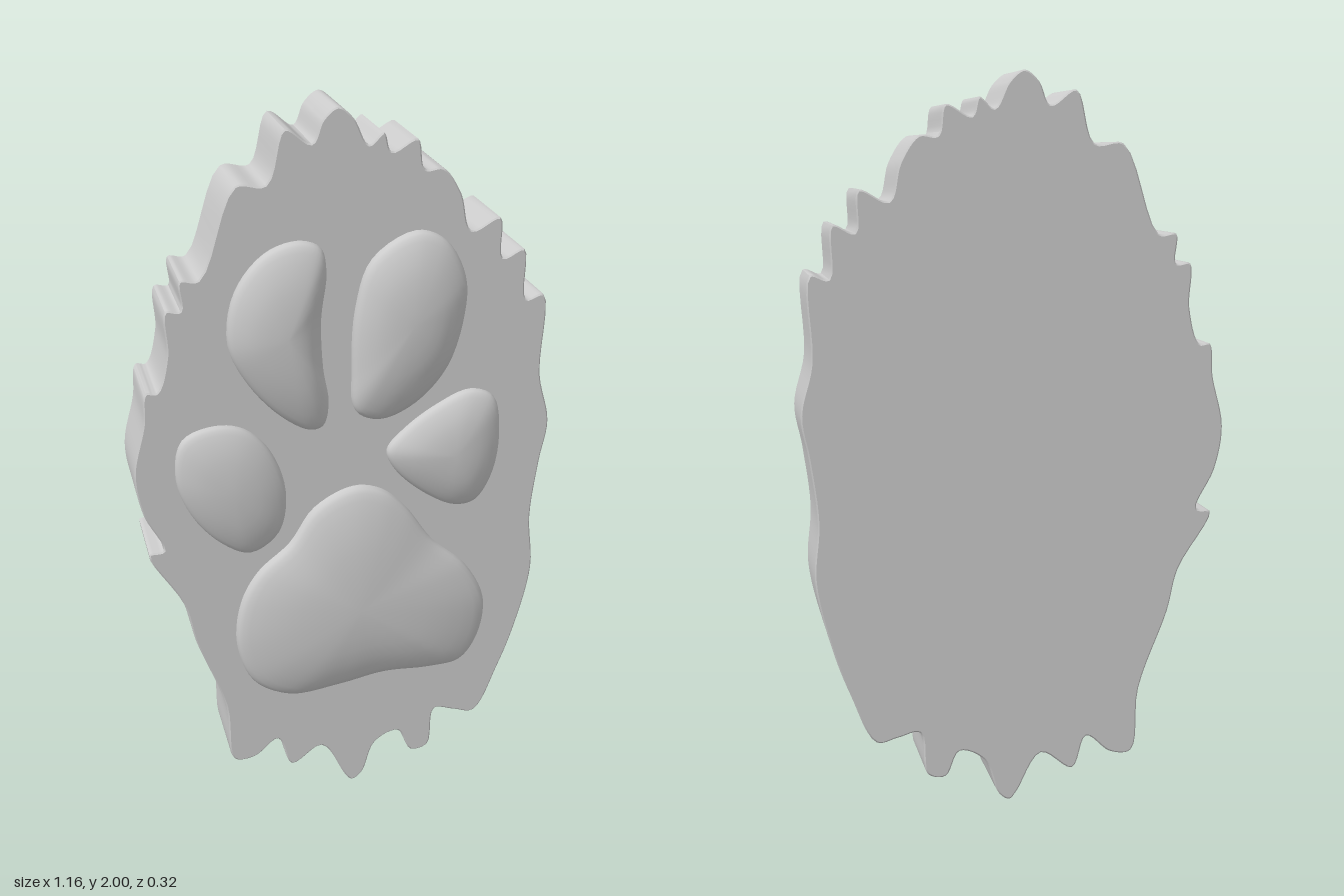
import * as THREE from 'three';
import { toCreasedNormals, mergeVertices } from 'three/addons/utils/BufferGeometryUtils.js';

const BACK = -0.163, FACE = 0.087;

// Closed smooth curve through x,y pairs given in hundredths of a unit
function smoothOutline(pairs, steps) {
  const pts = [];
  for (let i = 0; i < pairs.length; i += 2) {
    pts.push(new THREE.Vector3(pairs[i] / 100, pairs[i + 1] / 100, 0));
  }
  const curve = new THREE.CatmullRomCurve3(pts, true, 'centripetal');
  const n = pts.length * steps;
  return Array.from({ length: n }, (_, i) => {
    const p = curve.getPoint(i / n);
    return new THREE.Vector2(p.x, p.y);
  });
}

// Ragged fur silhouette, clockwise from the top
const FUR = [
  -2, 200, 2, 197, 6, 190, 10, 193, 12, 188, 19, 191, 21, 183, 26, 183, 31, 176, 34, 166,
  42, 169, 43, 158, 49, 160, 50, 146, 55, 147, 55, 124, 58, 110, 56, 98, 54, 81, 55, 65,
  51, 47, 46, 33, 39, 19, 33, 20, 27, 21, 25, 9, 20, 8, 16, 15, 9, 12, 5, 2,
  2, 0, 0, 2, -7, 13, -16, 8, -20, 17, -27, 12, -33, 12, -35, 30, -43, 52, -46, 64,
  -55, 80, -51, 81, -56, 92, -58, 104, -55, 118, -54, 127, -51, 127, -48, 137, -48, 149, -44, 149,
  -44, 157, -39, 157, -29, 181, -21, 181, -16, 195, -9, 191, -6, 197,
];

// Pads: outline clockwise, dome centre and height above the face
const PADS = [
  { name: 'heelPad', centre: [3, 60], height: 0.074, outline: [
    2, 95.5, 10, 94, 17, 88, 25, 77, 35, 68, 40.5, 57, 39, 45, 34, 38, 25, 36.5, 11, 36.5,
    -2, 34, -17, 32.5, -27, 38, -31.5, 50, -30, 63, -25, 72, -16, 80, -9, 90] },
  { name: 'rightInnerToe', centre: [-17, 141], height: 0.072, outline: [
    -13, 166, -7, 164, -5.5, 158, -7, 145, -6.5, 131, -5, 121, -6.5, 114.5, -10, 113.5,
    -18, 118, -27, 128, -32, 139, -30, 153, -22, 163] },
  { name: 'leftInnerToe', centre: [17, 143], height: 0.074, outline: [
    19, 167, 27, 164, 32.5, 154, 32.5, 144, 28, 129, 19, 119, 9, 115, 2.5, 118,
    1.5, 129, 2.5, 147, 7, 160] },
  { name: 'rightOuterToe', centre: [-32, 98], height: 0.055, outline: [
    -36, 116.5, -28, 115, -21, 108, -17, 96, -19, 84, -27, 78.5, -35, 82, -43, 91,
    -47, 102, -45, 113] },
  { name: 'leftOuterToe', centre: [30, 104], height: 0.058, outline: [
    35, 121.5, 41.5, 119, 43.5, 110, 42, 97, 37, 88.5, 31, 87.5, 22, 92, 13.5, 100,
    11.5, 105.5, 16, 111, 26, 118] },
];

// Dome cross-section: [scale of outline, fraction of height]
const DOME = [
  [1, -0.15], [1, 0.12], [0.985, 0.26], [0.955, 0.37], [0.9, 0.48], [0.8, 0.62],
  [0.66, 0.77], [0.5, 0.88], [0.33, 0.95], [0.16, 0.99], [0, 1],
];

function padGeometry({ outline, centre, height }) {
  const ring = smoothOutline(outline, 5).reverse();
  const n = ring.length, cx = centre[0] / 100, cy = centre[1] / 100;
  const positions = [], index = [];
  DOME.forEach(([s, h], row) => {
    for (const p of ring) {
      positions.push(cx + (p.x - cx) * s, cy + (p.y - cy) * s, FACE + h * height);
    }
    if (row === 0) return;
    for (let i = 0; i < n; i++) {
      const j = (i + 1) % n, a = (row - 1) * n, b = row * n;
      index.push(a + i, a + j, b + j);
      if (row < DOME.length - 1) index.push(a + i, b + j, b + i);
    }
  });
  let g = new THREE.BufferGeometry();
  g.setAttribute('position', new THREE.Float32BufferAttribute(positions, 3));
  g.setIndex(index);
  g = mergeVertices(g, 1e-5);
  g.computeVertexNormals();
  return g;
}

export function createModel() {
  const model = new THREE.Group();
  model.name = 'paw';
  const material = new THREE.MeshStandardMaterial({ color: 0xcccccc });

  // Thick plate with a slightly softened rim
  const bevel = 0.004;
  const plate = new THREE.ExtrudeGeometry(new THREE.Shape(smoothOutline(FUR, 6)), {
    depth: FACE - BACK - 2 * bevel, bevelEnabled: true,
    bevelThickness: bevel, bevelSize: bevel, bevelOffset: -bevel, bevelSegments: 1,
  });
  plate.translate(0, 0, BACK + bevel);
  const fur = new THREE.Mesh(toCreasedNormals(plate, 0.7), material);
  fur.name = 'furPlate';
  model.add(fur);

  // Raised pads
  for (const pad of PADS) {
    const mesh = new THREE.Mesh(padGeometry(pad), material);
    mesh.name = pad.name;
    model.add(mesh);
  }
  return model;
}
